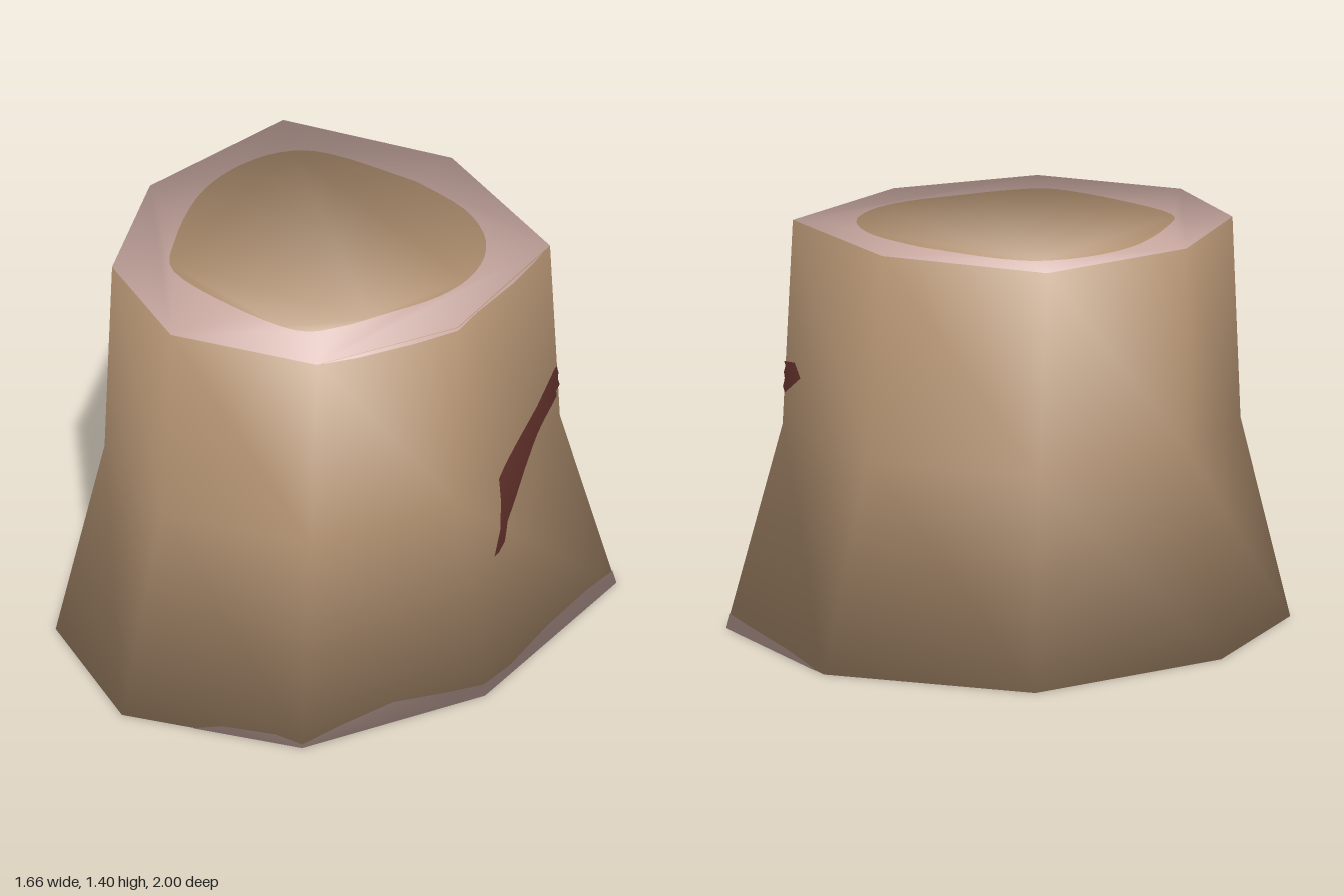
import * as THREE from 'three';

// Eight-sided cross-sections [x, z], running back -> +x side -> front -> -x side
const LEVELS = [0, 0.7, 1.4];
const RINGS = [
  [[0, -1], [0.73, -0.69], [0.83, 0.13], [0.56, 0.77], [-0.04, 1], [-0.55, 0.73], [-0.83, 0.08], [-0.72, -0.73]],
  [[0, -0.78], [0.61, -0.54], [0.69, 0.1], [0.47, 0.61], [-0.04, 0.79], [-0.46, 0.58], [-0.69, 0.07], [-0.59, -0.57]],
  [[0, -0.71], [0.6, -0.5], [0.68, 0.09], [0.46, 0.57], [-0.04, 0.74], [-0.46, 0.54], [-0.68, 0.07], [-0.59, -0.53]],
];
const BLOB = [[0, -0.52], [0.24, -0.49], [0.42, -0.38], [0.51, -0.21], [0.51, -0.02], [0.43, 0.2], [0.37, 0.34],
  [0.27, 0.45], [0, 0.47], [-0.28, 0.43], [-0.4, 0.28], [-0.51, 0.03], [-0.53, -0.18], [-0.47, -0.37], [-0.33, -0.47]];

const lerp = THREE.MathUtils.lerp;
// Blend a per-level value at height y
function atHeight(values, y) {
  return y < 0.7 ? lerp(values[0], values[1], y / 0.7) : lerp(values[1], values[2], (y - 0.7) / 0.7);
}

// Point on the side wall: s counts corners around, y is height
function wall(s, y, offset = 0) {
  const i = Math.floor(s), f = s - i;
  const coord = (k) => lerp(
    atHeight(RINGS.map((r) => r[i % 8][k]), y),
    atHeight(RINGS.map((r) => r[(i + 1) % 8][k]), y), f);
  const x = coord(0), z = coord(1), r = Math.hypot(x, z);
  return [x + (x / r) * offset, y, z + (z / r) * offset];
}

// Corner parameter of the +x wall at a given z and height
function cornerAt(z, y) {
  for (let i = 0; i < 4; i++) {
    const a = wall(i, y)[2], b = wall(i + 1, y)[2];
    if (z >= a && z <= b) return i + (z - a) / (b - a);
  }
  return 0;
}

// Soft normals that roll over the rims into the end faces
function softNormals(geometry) {
  const p = geometry.attributes.position, n = geometry.attributes.normal, v = new THREE.Vector3();
  for (let i = 0; i < p.count; i++) {
    const y = p.getY(i), h = atHeight([-0.64, 0.2, 0.64], y);
    const k = Math.sqrt(1 - h * h) / atHeight([0.9, 0.72, 0.69], y);
    v.set(p.getX(i) * k, h, p.getZ(i) * k).normalize();
    n.setXYZ(i, v.x, v.y, v.z);
  }
  return geometry;
}

// Surface through rows of points; rows advance around, columns go up
function grid(rows) {
  const cols = rows[0].length, index = [];
  for (let i = 0; i < rows.length - 1; i++) {
    for (let j = 0; j < cols - 1; j++) {
      const a = i * cols + j, b = a + cols;
      index.push(a, a + 1, b + 1, a, b + 1, b);
    }
  }
  const g = new THREE.BufferGeometry();
  g.setAttribute('position', new THREE.Float32BufferAttribute(rows.flat(2), 3));
  g.setIndex(index);
  g.computeVertexNormals();
  return softNormals(g);
}

// Flat end face, facing up (1) or down (-1)
function flatFace(shape, up, y) {
  return softNormals(new THREE.ShapeGeometry(shape).rotateX(-up * Math.PI / 2).translate(0, y, 0));
}

export function createModel() {
  const group = new THREE.Group();
  const mat = (name, color) => {
    const m = new THREE.MeshStandardMaterial({ color });
    m.name = name;
    return m;
  };
  const tan = mat('tan', 0xb09070);
  const pink = mat('palePink', 0xcaaaa2);
  const red = mat('darkRed', 0x66332d);
  const add = (name, geometry, material) => {
    const mesh = new THREE.Mesh(geometry, material);
    mesh.name = name;
    group.add(mesh);
  };

  // Flared side wall
  const wallRows = [];
  for (let s = 0; s <= 8; s++) wallRows.push(LEVELS.map((y) => wall(s, y)));
  add('sideWall', grid(wallRows), tan);

  // End faces: pink rim around a tan core
  for (const [label, up, ring, y, sx, sz] of [['top', 1, RINGS[2], 1.4, 1, 1], ['bottom', -1, RINGS[0], 0, 1.18, 1.36]]) {
    const outline = new THREE.Shape(ring.map(([x, z]) => new THREE.Vector2(x, -z * up)));
    const knots = [...BLOB, BLOB[0]].map(([x, z]) => new THREE.Vector2(x * sx, -z * sz * up));
    const loop = new THREE.SplineCurve(knots).getPoints(60).slice(0, -1);
    outline.holes.push(new THREE.Path(loop));
    add(label + 'Rim', flatFace(outline, up, y), pink);
    add(label + 'Core', flatFace(new THREE.Shape(loop), up, y), tan);
  }

  // Dark gash on the +x wall: [lower z, lower y, upper z, upper y]
  const cuts = [[-0.575, 0.88, -0.555, 0.925], [-0.54, 0.81, -0.5, 0.905], [-0.42, 0.735, -0.39, 0.82],
    [-0.29, 0.63, -0.26, 0.745], [-0.2, 0.55, -0.14, 0.67], [-0.15, 0.51, -0.13, 0.59],
    [-0.115, 0.45, -0.1, 0.5], [-0.07, 0.43, -0.045, 0.43]];
  const gash = [];
  for (let i = 0; i <= (cuts.length - 1) * 4; i++) {
    const k = Math.min(Math.floor(i / 4), cuts.length - 2), f = i / 4 - k;
    const c = cuts[k].map((v, j) => lerp(v, cuts[k + 1][j], f));
    gash.push([0, 0.2, 0.4, 0.6, 0.8, 1].map((t) => {
      const z = lerp(c[0], c[2], t), y = lerp(c[1], c[3], t);
      return wall(cornerAt(z, y), y, 0.006);
    }));
  }
  add('gash', grid(gash), red);

  // Uneven pink edges creeping onto the wall: [corner parameter, height]
  const lowerEdge = [[0.1, 0.005], [0.4, 0.025], [0.8, 0.04], [1, 0.05], [1.2, 0.06], [1.5, 0.055], [1.8, 0.03],
    [2, 0.04], [2.2, 0.05], [2.5, 0.07], [2.8, 0.04], [3, 0.012], [3.15, 0.03], [3.45, 0.025], [3.6, 0.001]];
  add('lowerEdge', grid(lowerEdge.map(([s, h]) => [wall(s, 0, 0.003), wall(s, h, 0.003)])), pink);
  const upperEdge = [[1.1, 0.004], [1.4, 0.018], [1.8, 0.006], [2, 0.012], [2.3, 0.018], [2.7, 0.014], [2.95, 0.002]];
  add('upperEdge', grid(upperEdge.map(([s, h]) => [wall(s, 1.4 - h, 0.003), wall(s, 1.4, 0.003)])), pink);

  return group;
}
